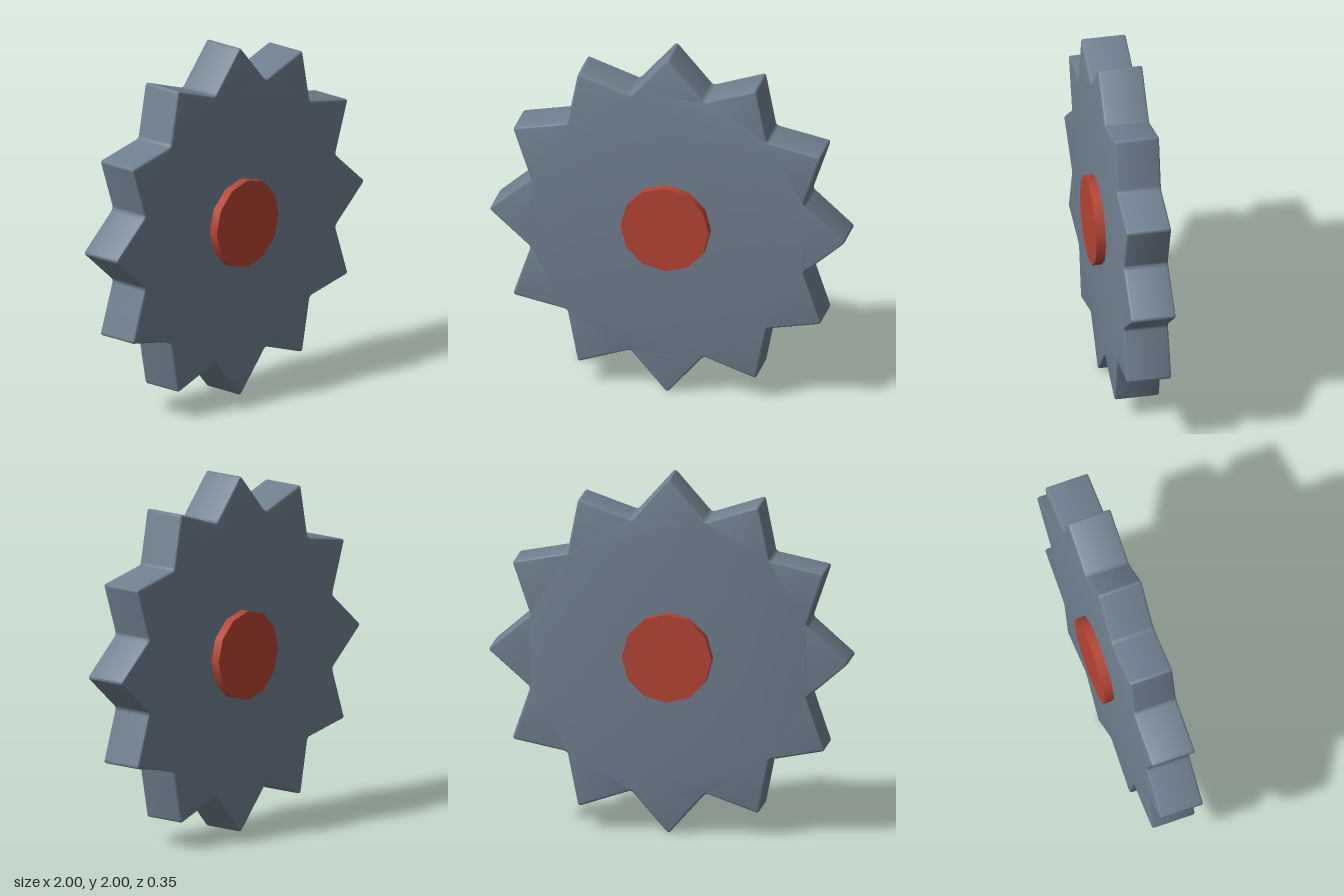
import * as THREE from 'three';
import { toCreasedNormals } from 'three/addons/utils/BufferGeometryUtils.js';

const POINTS = 12, TIP = 1.006, VALLEY = 0.797;
const THICKNESS = 0.25, BEVEL = 0.012, CUT = 0.018;

// Star outline whose tips and valleys are slightly rounded
function starShape() {
  const corners = [];
  for (let i = 0; i < POINTS * 2; i++) {
    const r = i % 2 ? VALLEY : TIP, a = (i * Math.PI) / POINTS;
    corners.push(new THREE.Vector2(r * Math.cos(a), r * Math.sin(a)));
  }
  const toward = (p, q) => p.clone().add(q.clone().sub(p).setLength(CUT));
  const shape = new THREE.Shape();
  corners.forEach((c, i) => {
    const n = corners.length;
    const start = toward(c, corners[(i + n - 1) % n]);
    const end = toward(c, corners[(i + 1) % n]);
    if (i === 0) shape.moveTo(start.x, start.y);
    else shape.lineTo(start.x, start.y);
    shape.quadraticCurveTo(c.x, c.y, end.x, end.y);
  });
  shape.closePath();
  return shape;
}

export function createModel() {
  const model = new THREE.Group();
  model.name = 'toothedWheel';

  // Thick star-shaped wheel with softened rims
  const depth = THICKNESS - 2 * BEVEL;
  const wheelGeometry = new THREE.ExtrudeGeometry(starShape(), {
    depth, curveSegments: 4, bevelEnabled: true, bevelSegments: 3,
    bevelThickness: BEVEL, bevelSize: BEVEL, bevelOffset: -BEVEL,
  });
  wheelGeometry.translate(0, 0, -depth / 2);
  const wheel = new THREE.Mesh(
    toCreasedNormals(wheelGeometry, 0.7),
    new THREE.MeshStandardMaterial({ color: 0x708090 })
  );
  wheel.name = 'wheel';

  // Twelve-sided hub standing out on both faces
  const hub = new THREE.Mesh(
    new THREE.CylinderGeometry(0.25, 0.25, 0.355, 12).rotateX(Math.PI / 2),
    new THREE.MeshStandardMaterial({ color: 0xb54434 })
  );
  hub.name = 'hub';

  wheel.position.y = hub.position.y = 1;
  model.add(wheel, hub);
  return model;
}
